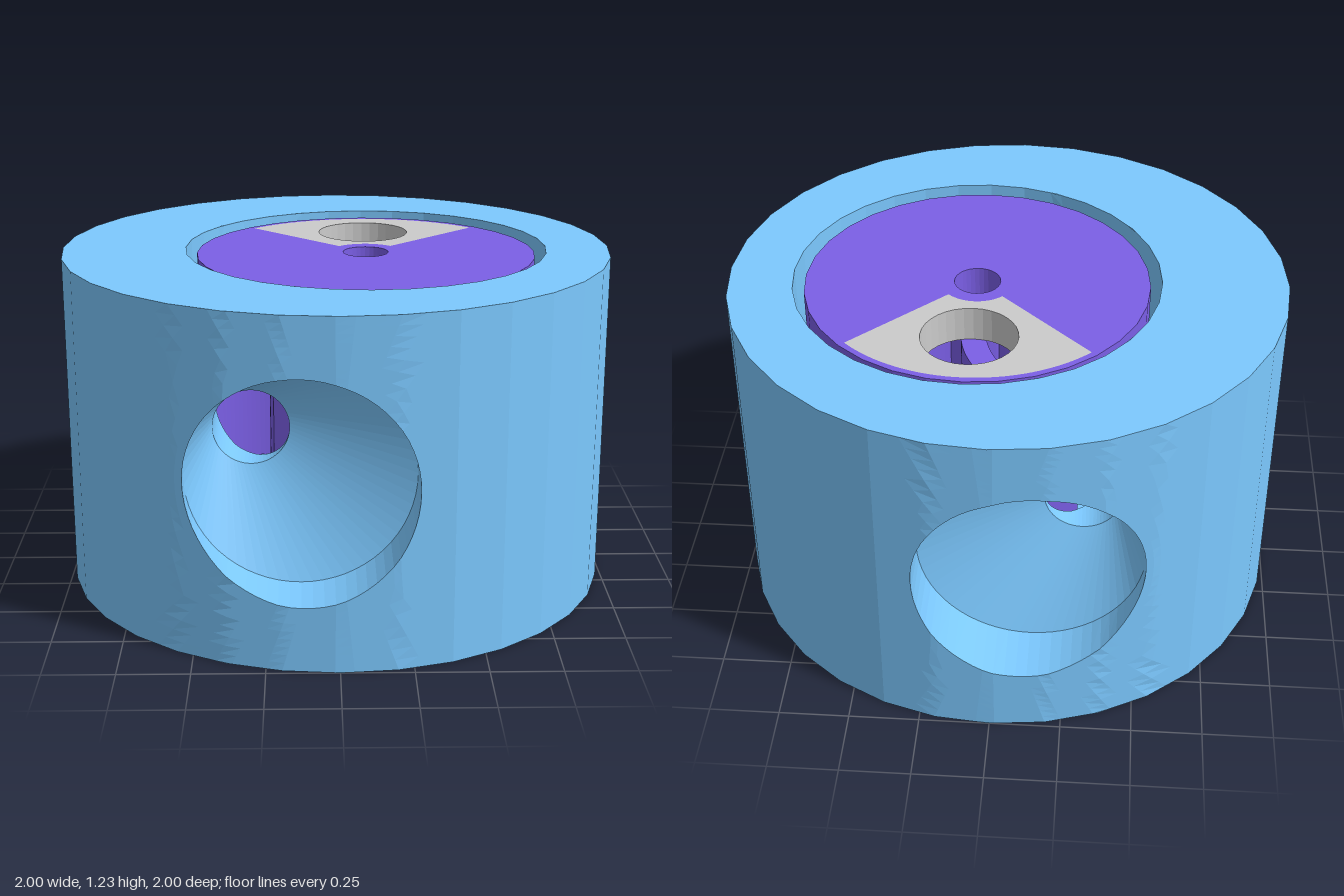
import * as THREE from 'three';

const DEG = Math.PI / 180;
const HEIGHT = 1.23, FLOOR = 0.38, AXIS = 0.11, SIDES = 32, RIM = 64;
const mat = (color) => new THREE.MeshStandardMaterial({ color, side: THREE.DoubleSide, flatShading: true });
const blue = mat(0x7cc9ff), purple = mat(0x7b5fe6), grey = mat(0xcccccc);

function add(parent, name, geometry, material, x = 0, y = 0, z = 0) {
  const mesh = new THREE.Mesh(geometry, material);
  mesh.name = name;
  mesh.position.set(x, y, z);
  parent.add(mesh);
  return mesh;
}

// Surface through closed or open loops of points
function loft(loops) {
  const n = loops[0].length, pos = [], idx = [];
  loops.forEach((loop) => loop.forEach((p) => pos.push(p.x, p.y, p.z)));
  for (let j = 0; j < loops.length - 1; j++) {
    for (let i = 0; i < n - 1; i++) {
      const a = j * n + i, b = a + n;
      idx.push(a, a + 1, b, a + 1, b + 1, b);
    }
  }
  const g = new THREE.BufferGeometry();
  g.setAttribute('position', new THREE.Float32BufferAttribute(pos, 3));
  g.setIndex(idx);
  g.computeVertexNormals();
  return g;
}

const around = (f) => Array.from({ length: RIM + 1 }, (_, i) => f(i / RIM * Math.PI * 2));
const loopAt = (c, z) => around((a) => new THREE.Vector3(c.x + c.r * Math.cos(a), c.y + c.r * Math.sin(a), z));

// Point on a many-sided upright wall
function onWall(wall, theta, y) {
  const step = 2 * Math.PI / SIDES;
  const off = theta - (Math.floor(theta / step) + 0.5) * step;
  const r = wall.r * Math.cos(step / 2) / Math.cos(off);
  return new THREE.Vector3(wall.x + r * Math.sin(theta), y, r * Math.cos(theta));
}

// Edge of a round hole bored along z through a wall
const rimOn = (wall, c) => around((a) => onWall(wall,
  Math.asin((c.x + c.r * Math.cos(a) - wall.x) / wall.r), c.y + c.r * Math.sin(a)));

// Wall panel between a round hole and its rectangular border
function panel(wall, c) {
  const rings = 8, mid = (wall.from + wall.to) / 2 * DEG, half = (wall.to - wall.from) / 2 * DEG;
  const loops = [];
  for (let k = 0; k <= rings; k++) {
    const t = k / rings;
    loops.push(around((a) => {
      const m = Math.max(Math.abs(Math.cos(a)), Math.abs(Math.sin(a)));
      const theta = Math.asin((c.x + c.r * Math.cos(a) - wall.x) / wall.r);
      const y = c.y + c.r * Math.sin(a);
      const edge = mid + half * Math.cos(a) / m;
      const edgeY = (wall.y0 + wall.y1) / 2 + (wall.y1 - wall.y0) / 2 * Math.sin(a) / m;
      return onWall(wall, theta + (edge - theta) * t, y + (edgeY - y) * t);
    }));
  }
  return loft(loops);
}

// Plain stretch of wall between two angles
function arcWall(wall, from, to) {
  const h = wall.y1 - wall.y0;
  return new THREE.CylinderGeometry(wall.r, wall.r, h, Math.round((to - from) / 360 * SIDES), 1, true,
    from * DEG, (to - from) * DEG).translate(wall.x, wall.y0 + h / 2, 0);
}

// Disc outline with an optional round hole
function ringShape(r, holeR, holeX = 0) {
  const s = new THREE.Shape().absarc(0, 0, r, 0, Math.PI * 2);
  s.holes.push(new THREE.Path().absarc(holeX, 0, holeR, 0, Math.PI * 2));
  return s;
}
const flat = (shape) => new THREE.ShapeGeometry(shape, SIDES / 2).rotateX(-Math.PI / 2);
const slab = (shape, depth) => new THREE.ExtrudeGeometry(shape,
  { depth, bevelEnabled: false, curveSegments: SIDES / 2 }).rotateX(-Math.PI / 2);

function sector(path, r0, r1, a0, a1) {
  path.absarc(0, 0, r1, a0, a1, false);
  path.absarc(0, 0, r0, a1, a0, true);
  path.closePath();
  return path;
}

function createHousing() {
  const g = new THREE.Group();
  g.name = 'housing';
  const outer = { r: 1, x: 0, y0: 0, y1: HEIGHT, from: -45, to: 22.5 };
  const inner = { r: 0.66, x: AXIS, y0: FLOOR, y1: HEIGHT, from: -67.5, to: -11.25 };
  const mouth = { x: -0.13, y: 0.625, r: 0.395 };
  const throat = { x: -0.3, y: 0.74, r: 0.132 };

  // Funnel ports, mirrored front to back
  for (const [side, sign] of [['front', 1], ['back', -1]]) {
    const port = new THREE.Group();
    port.name = side + 'Port';
    port.scale.z = sign;
    add(port, 'outerPanel', panel(outer, mouth), blue);
    add(port, 'mouth', loft([rimOn(outer, mouth), loopAt(mouth, 0.77)]), blue);
    add(port, 'funnel', loft([loopAt(mouth, 0.77), loopAt(throat, 0.62)]), blue);
    add(port, 'throat', loft([loopAt(throat, 0.62), rimOn(inner, throat)]), blue);
    add(port, 'chamberPanel', panel(inner, throat), blue);
    g.add(port);
  }

  // Plain walls between the ports
  for (const wall of [outer, inner]) {
    const name = wall === outer ? 'outerWall' : 'chamberWall';
    add(g, name, arcWall(wall, wall.to, 180 - wall.to), blue);
    add(g, name, arcWall(wall, 180 - wall.from, 360 + wall.from), blue);
  }

  // Top rim, chamber floor, underside and shaft bore
  add(g, 'topRim', flat(ringShape(1, inner.r, AXIS)), blue, 0, HEIGHT);
  add(g, 'chamberFloor', flat(ringShape(inner.r, 0.08)), blue, AXIS, FLOOR);
  add(g, 'underside', flat(ringShape(1, 0.08, AXIS)), blue);
  add(g, 'shaftBore', new THREE.CylinderGeometry(0.08, 0.08, FLOOR, SIDES, 1, true), blue, AXIS, FLOOR / 2);
  return g;
}

function createRotor() {
  const g = new THREE.Group();
  g.name = 'rotor';
  g.position.x = AXIS;
  const bottom = 0.4, plate = 1.08, top = 1.21;

  // Cover plate with a quarter-sector opening
  const cover = ringShape(0.62, 0.083);
  cover.holes.push(sector(new THREE.Path(), 0.135, 0.595, 45 * DEG, 135 * DEG));
  add(g, 'coverPlate', slab(cover, top - plate), purple, 0, plate);

  // Sector insert with a round inlet
  const insert = sector(new THREE.Shape(), 0.135, 0.595, 45 * DEG, 135 * DEG);
  insert.holes.push(new THREE.Path().absarc(0, 0.35, 0.17, 0, Math.PI * 2));
  add(g, 'inletInsert', slab(insert, top - plate), grey, 0, plate);

  // Hub and curved blades
  add(g, 'hub', slab(ringShape(0.135, 0.083), plate - bottom), purple, 0, bottom);
  const blade = new THREE.Shape();
  blade.absarc(-0.39, 0.12, 0.44, -3 * DEG, 75 * DEG, false);
  blade.absarc(-0.39, 0.12, 0.35, 90 * DEG, -3 * DEG, true);
  blade.closePath();
  const bladeGeometry = slab(blade, plate - bottom);
  for (let i = 0; i < 6; i++) {
    add(g, 'blade', bladeGeometry, purple, 0, bottom).rotation.y = i * Math.PI / 3;
  }
  return g;
}

export function createModel() {
  const model = new THREE.Group();
  model.name = 'rotorInHousing';
  model.add(createHousing(), createRotor());
  return model;
}
